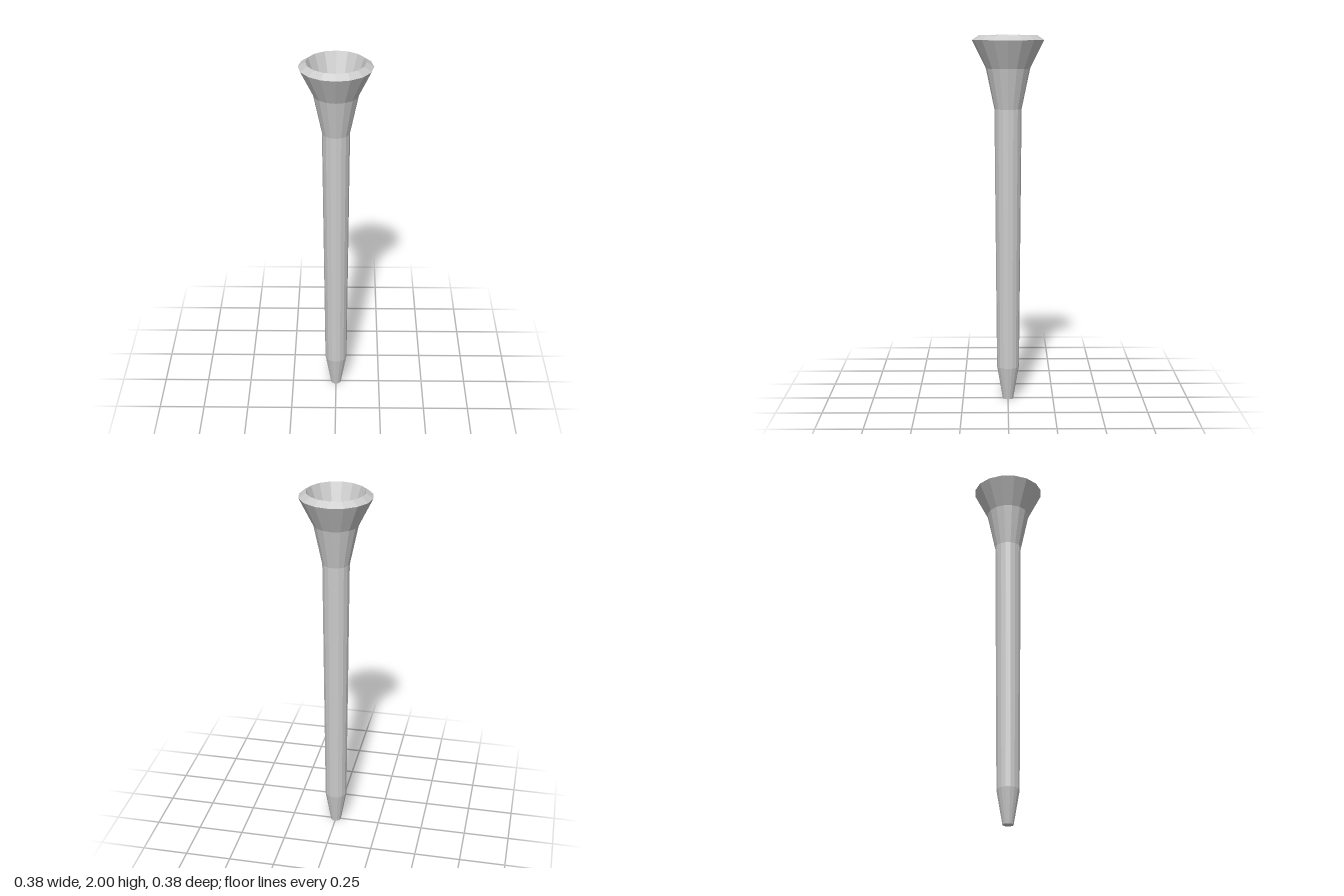
import * as THREE from 'three';

const SIDES = 16;
const material = new THREE.MeshStandardMaterial({ color: 0xcccccc, flatShading: true });

// Faceted solid of revolution from [radius, height] pairs
function turned(name, profile) {
  const points = profile.map(([r, y]) => new THREE.Vector2(r, y));
  const mesh = new THREE.Mesh(new THREE.LatheGeometry(points, SIDES), material);
  mesh.name = name;
  return mesh;
}

export function createModel() {
  const group = new THREE.Group();
  group.name = 'tee';

  // Blunt tip and slightly tapered shaft
  group.add(turned('shaft', [[0, 0], [0.029, 0], [0.061, 0.185], [0.073, 1.61]]));

  // Flared head with a bevelled rim
  group.add(turned('head', [[0.073, 1.61], [0.118, 1.825], [0.192, 1.975], [0.154, 2]]));

  // Hollow cup with a flat floor, running from the rim inwards
  group.add(turned('cup', [[0.154, 2], [0.092, 1.83], [0.046, 1.71], [0, 1.71]]));

  return group;
}
